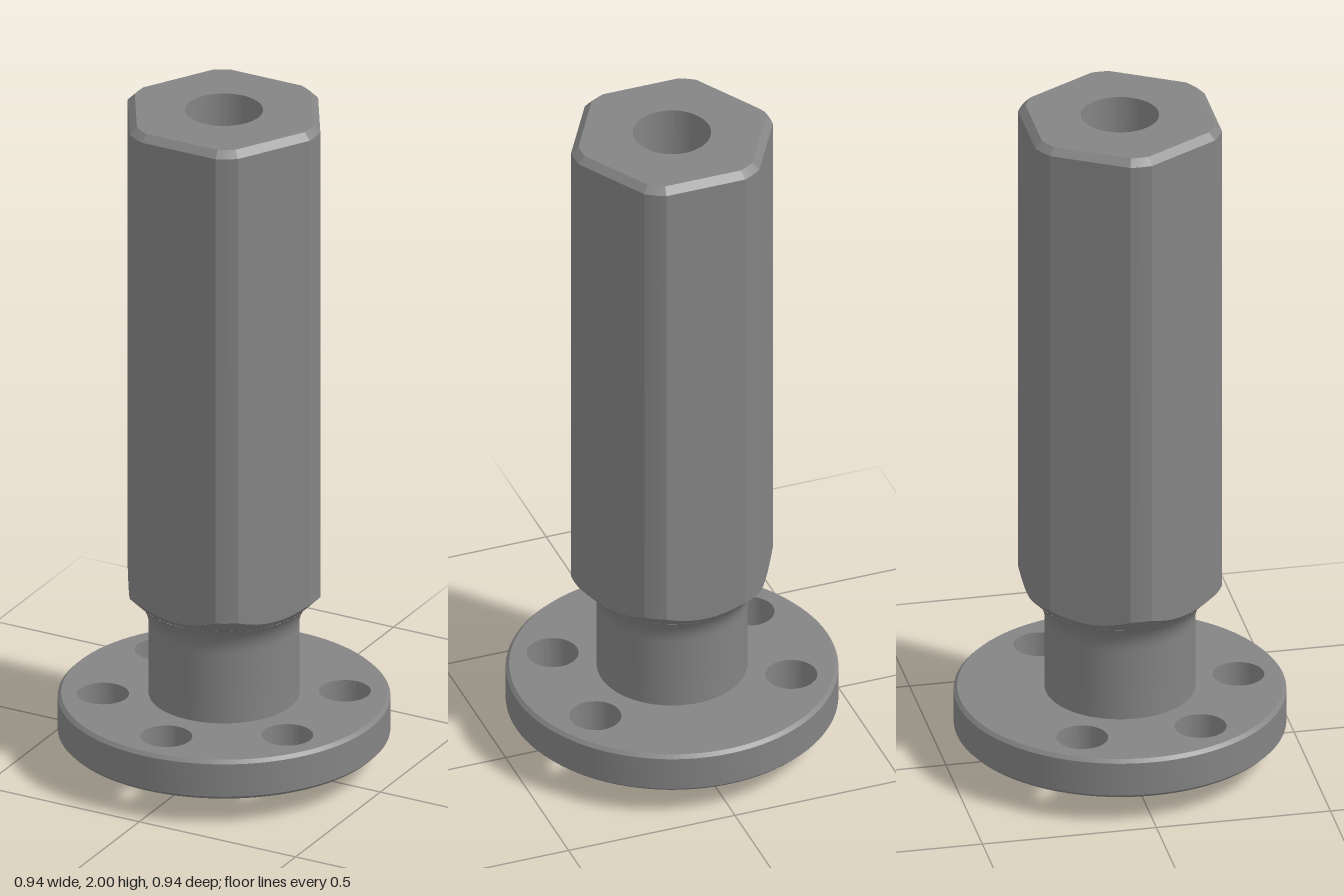
import * as THREE from 'three';
import { toCreasedNormals } from 'three/addons/utils/BufferGeometryUtils.js';

const CREASE = Math.PI / 12;
const FLAT_STEPS = 8, CORNER_STEPS = 4;

// Hexagon with its corners turned down to a circle: list of { angle, radius }
function hexOutline(apothem, cornerRadius) {
  const half = Math.acos(apothem / cornerRadius);
  const points = [];
  for (let k = 0; k < 6; k++) {
    const mid = Math.PI / 6 + k * Math.PI / 3;
    for (let i = 0; i < FLAT_STEPS; i++) {
      const t = -half + 2 * half * i / FLAT_STEPS;
      points.push({ angle: mid + t, radius: apothem / Math.cos(t) });
    }
    const arc = Math.PI / 3 - 2 * half;
    for (let i = 0; i < CORNER_STEPS; i++) {
      points.push({ angle: mid + half + arc * i / CORNER_STEPS, radius: cornerRadius });
    }
  }
  return points;
}

// Skin a stack of loops, each a list of [x, y, z]
function skin(loops) {
  const n = loops[0].length, index = [];
  for (let j = 0; j < loops.length - 1; j++) {
    for (let i = 0; i < n; i++) {
      const a = j * n + i, b = j * n + (i + 1) % n;
      index.push(a, a + n, b, b, a + n, b + n);
    }
  }
  const geometry = new THREE.BufferGeometry();
  geometry.setAttribute('position', new THREE.Float32BufferAttribute(loops.flat(2), 3));
  geometry.setIndex(index);
  return toCreasedNormals(geometry, CREASE);
}

function lathe(profile, segments = 96) {
  const points = profile.map(([r, y]) => new THREE.Vector2(r, y));
  return toCreasedNormals(new THREE.LatheGeometry(points, segments), CREASE);
}

// Hexagonal grip: conical underside, flats, top chamfer and drilled hole
function gripGeometry() {
  const outer = hexOutline(0.268, 0.293);
  const inner = hexOutline(0.248, 0.273);
  const loop = (outline, radius, height) => outline.map((p) => {
    const r = radius ?? p.radius;
    return [r * Math.cos(p.angle), height(r), r * Math.sin(p.angle)];
  });
  return skin([
    loop(outer, 0.247, () => 0.499),
    loop(outer, null, (r) => r + 0.252),
    loop(outer, null, () => 1.98),
    loop(inner, null, () => 2),
    loop(inner, 0.11, () => 2),
    loop(inner, 0.11, () => 1.5),
    loop(inner, 0.0005, () => 1.435),
  ]);
}

// Flange disc with five of six bolt holes; the back position is left solid
function flangeGeometry() {
  const shape = new THREE.Shape().absarc(0, 0, 0.458, 0, Math.PI * 2);
  for (let k = 0; k < 5; k++) {
    const angle = -Math.PI / 6 + k * Math.PI / 3;
    const hole = new THREE.Path();
    hole.absarc(0.34 * Math.cos(angle), 0.34 * Math.sin(angle), 0.073, 0, Math.PI * 2, true);
    shape.holes.push(hole);
  }
  const geometry = new THREE.ExtrudeGeometry(shape, { depth: 0.12, bevelEnabled: false, curveSegments: 48 });
  geometry.rotateX(Math.PI / 2).translate(0, 0.2, 0);
  return toCreasedNormals(geometry, CREASE);
}

export function createModel() {
  const group = new THREE.Group();
  const steel = new THREE.MeshStandardMaterial({ color: 0x848484 });
  steel.name = 'steel grey';
  const add = (name, geometry) => {
    const mesh = new THREE.Mesh(geometry, steel);
    mesh.name = name;
    group.add(mesh);
  };

  add('hexGrip', gripGeometry());

  // Neck with a fillet sweeping out to the 45 degree underside of the grip
  const neck = [[0.212, 0.19], [0.212, 0.414]];
  for (let i = 1; i <= 8; i++) {
    const t = i / 8 * Math.PI / 4;
    neck.push([0.332 - 0.12 * Math.cos(t), 0.414 + 0.12 * Math.sin(t)]);
  }
  add('neck', lathe(neck));

  // Flange and its chamfered rim
  add('flange', flangeGeometry());
  add('flangeRim', lathe([[0.458, 0.08], [0.468, 0.09], [0.468, 0.19], [0.458, 0.2]]));

  // Locating boss under the flange
  add('boss', lathe([[0, 0], [0.17, 0], [0.19, 0.02], [0.19, 0.085]]));

  return group;
}
